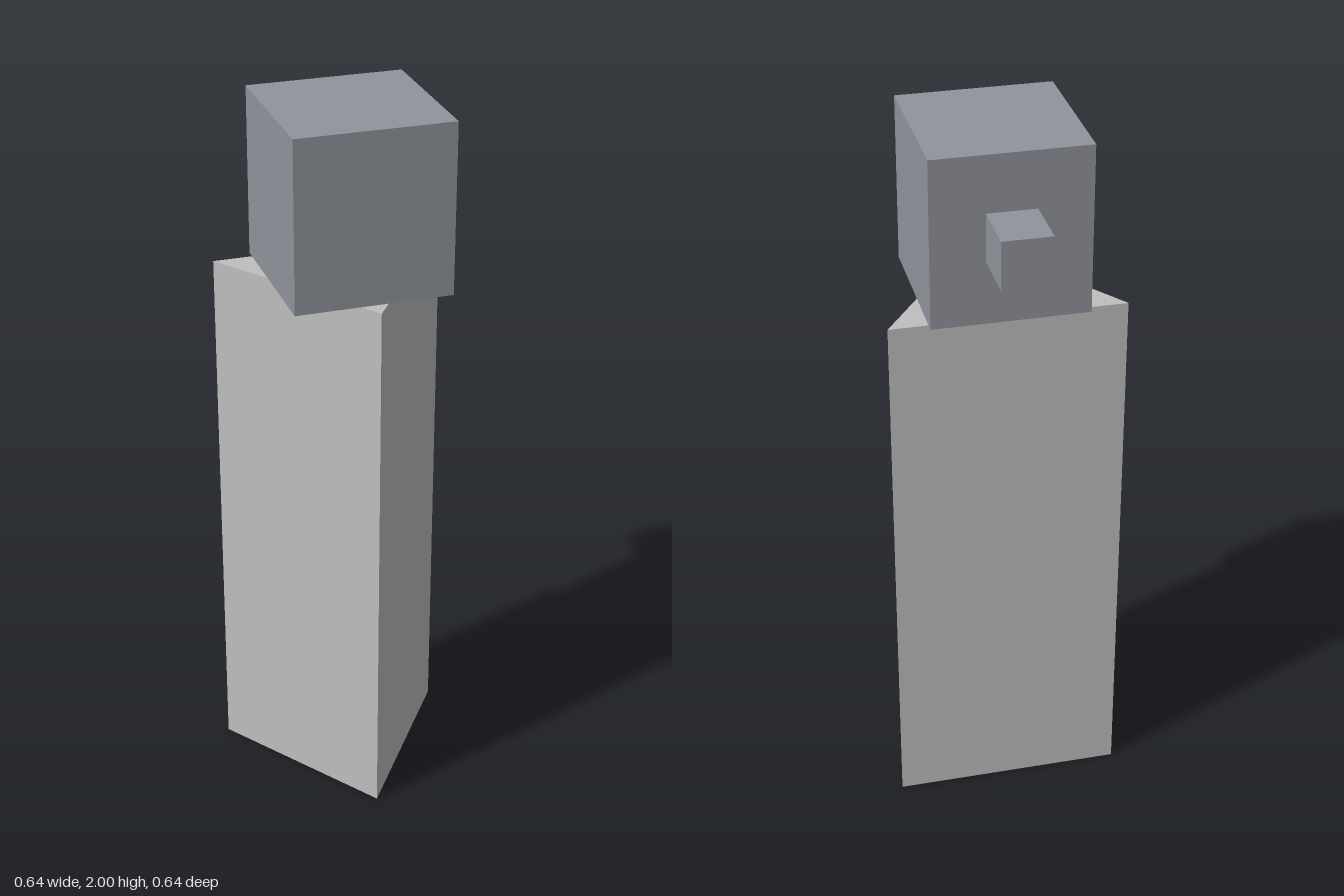
import * as THREE from 'three';

export function createModel() {
  const group = new THREE.Group();
  const lightGrey = new THREE.MeshStandardMaterial({ color: 0xbfbfbf });
  lightGrey.name = 'light grey';
  const slateGrey = new THREE.MeshStandardMaterial({ color: 0x90949c });
  slateGrey.name = 'slate grey';

  const add = (name, geometry, material, x, y, z) => {
    const mesh = new THREE.Mesh(geometry, material);
    mesh.name = name;
    mesh.position.set(x, y, z);
    group.add(mesh);
  };

  // Triangular column: flat back, one sharp edge facing the front
  const triangle = new THREE.Shape([
    new THREE.Vector2(0, -0.32),
    new THREE.Vector2(0.32, 0.133),
    new THREE.Vector2(-0.32, 0.133),
  ]);
  const prism = new THREE.ExtrudeGeometry(triangle, { depth: 1.533, bevelEnabled: false });
  prism.rotateX(-Math.PI / 2);
  add('column', prism, lightGrey, 0, 0, 0);

  // Block head resting on the column
  add('head', new THREE.BoxGeometry(0.426, 0.467, 0.426), slateGrey, 0, 1.7665, 0.055);

  // Small peg on the back of the head
  add('backPeg', new THREE.BoxGeometry(0.134, 0.134, 0.162), slateGrey, 0, 1.775, -0.239);

  return group;
}
